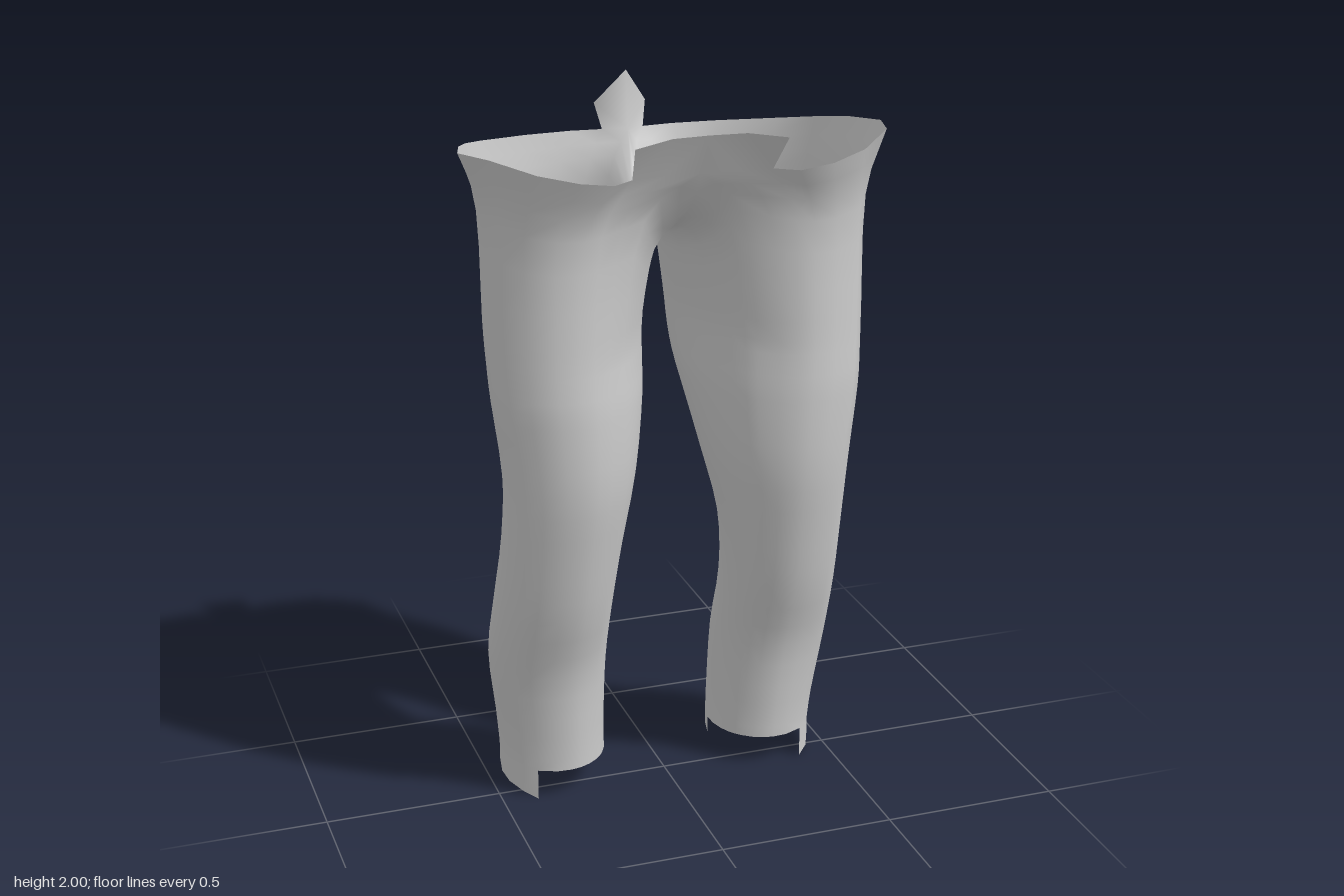
import * as THREE from 'three';
import { mergeGeometries, mergeVertices } from 'three/addons/utils/BufferGeometryUtils.js';

const V = (x, y, z) => new THREE.Vector3(x, y, z);
const rad = THREE.MathUtils.degToRad;

// Top edge of one leg: half the waist, then the crotch seam. [x, y, z, angle round the leg]
const topEdge = [
  [0, 1.855, 0.295, 130], [0.1, 1.855, 0.3, 117], [0.19, 1.855, 0.31, 105], [0.25, 1.855, 0.352, 94],
  [0.34, 1.868, 0.355, 78], [0.44, 1.888, 0.32, 57], [0.54, 1.915, 0.23, 40], [0.585, 1.905, 0.09, 18],
  [0.55, 1.89, -0.04, -2], [0.5, 1.867, -0.165, -24], [0.432, 1.845, -0.272, -47], [0.28, 1.83, -0.36, -73],
  [0.15, 1.83, -0.368, -93], [0.06, 1.83, -0.36, -112], [0, 1.84, -0.31, -128],
  [0, 1.74, -0.265, -145], [0, 1.66, -0.18, -160], [0, 1.63, -0.08, -176], [0, 1.65, 0.03, -190],
  [0, 1.69, 0.13, -204], [0, 1.74, 0.21, -215], [0, 1.795, 0.26, -223],
];

// Leg sections: [y, inner x, outer x, front z, back z, skew, outer fullness]
const hipRing = [1.7, 0.028, 0.518, 0.292, -0.348, 0.06, 0.05];
const legRings = [
  [1.42, 0.05, 0.512, 0.292, -0.337, 0.06, 0.05],
  [1.3, 0.058, 0.508, 0.297, -0.312, 0.058, 0.05],
  [1.2, 0.067, 0.503, 0.3, -0.264, 0.05, 0.05],
  [1.0, 0.105, 0.485, 0.29, -0.16, 0.03, 0.04],
  [0.8, 0.15, 0.488, 0.25, -0.115, 0.01, 0.03],
  [0.6, 0.17, 0.499, 0.2, -0.157, 0, 0.02],
  [0.4, 0.17, 0.503, 0.13, -0.224, 0, 0.02],
  [0.2, 0.17, 0.478, 0.1, -0.249, 0, 0.02],
  [0.09, 0.168, 0.468, 0.09, -0.249, 0, 0.02],
];

function ringPoint([y, x0, x1, zf, zb, skew, full], deg) {
  const c = Math.cos(rad(deg)), s = Math.sin(rad(deg));
  const a = Math.sqrt(((x1 - x0) / 2) ** 2 - skew ** 2);
  const k = c > 0 ? 1 + full * (2 * s * c) ** 2 : 1;
  return V((x0 + x1) / 2 + k * (a * c + skew * s), y, (zf + zb) / 2 + (k * s * (zf - zb)) / 2);
}

// Smooth line from the top edge down to the ankle; it leaves the seam sideways, the waist downwards
function legColumn([x, y, z, deg]) {
  const outer = Math.min(1, x / 0.3);
  const mid = V(x, y, z).lerp(ringPoint(hipRing, deg), 0.8 + 0.2 * outer);
  mid.y = y - (0.3 + 0.07 * outer) * (y - 1.42);
  const pts = [V(x, y, z), mid, ...legRings.map((r) => ringPoint(r, deg))];
  const curve = new THREE.CatmullRomCurve3(pts, false, 'catmullrom', 0.5);
  return curve.getPoints((pts.length - 1) * 3);
}

// Sheet from columns of points, on the given side (1 left, -1 right)
function sheet(columns, side, closed) {
  const n = columns.length, rows = columns[0].length;
  const pos = [], index = [];
  for (const col of columns) for (const p of col) pos.push(p.x * side, p.y, p.z);
  for (let i = 0; i < (closed ? n : n - 1); i++) {
    for (let j = 0; j < rows - 1; j++) {
      const a = i * rows + j, b = ((i + 1) % n) * rows + j;
      if (side > 0) index.push(a, a + 1, b + 1, a, b + 1, b);
      else index.push(a, b + 1, a + 1, a, b, b + 1);
    }
  }
  const geo = new THREE.BufferGeometry();
  geo.setAttribute('position', new THREE.Float32BufferAttribute(pos, 3));
  geo.setIndex(index);
  return geo;
}

const mirrored = (columns, closed = false) => [sheet(columns, 1, closed), sheet(columns, -1, closed)];

export function createModel() {
  const group = new THREE.Group();
  const cloth = new THREE.MeshStandardMaterial({ color: 0xcccccc, side: THREE.DoubleSide });
  cloth.name = 'grey cloth';

  // Hips and both legs
  const columns = topEdge.map(legColumn);
  const legs = mirrored(columns, true);

  // Stepped hems, lower on the outside and back
  const hemY = [0, 0.012, 0.02, 0.025, 0.03, 0.035, 0.045, 0.048, 0.045, 0.05, 0.045, 0.05, 0.04];
  const hems = mirrored(hemY.map((y, i) => {
    const p = columns[5 + i].at(-1);
    return [p, V(p.x, y, p.z)];
  }));

  // Raised front waist flap
  const edge = (i) => columns[i][0];
  const frontFlap = mirrored([
    [V(0, 1.965, 0.355), edge(0)],
    [V(0.1, 1.965, 0.362), edge(1)],
    [V(0.205, 1.95, 0.38), edge(2)],
  ]);

  // Pointed back waist flap
  const backFlap = mirrored([
    [V(0.075, 1.9, -0.385), edge(13)],
    [V(0, 2, -0.325), edge(14)],
  ]);

  // Weld everything into one continuous smooth cloth
  const geo = mergeVertices(mergeGeometries([...legs, ...hems, ...frontFlap, ...backFlap]), 1e-4);
  geo.computeVertexNormals();
  const trousers = new THREE.Mesh(geo, cloth);
  trousers.name = 'trousers';
  group.add(trousers);
  return group;
}
